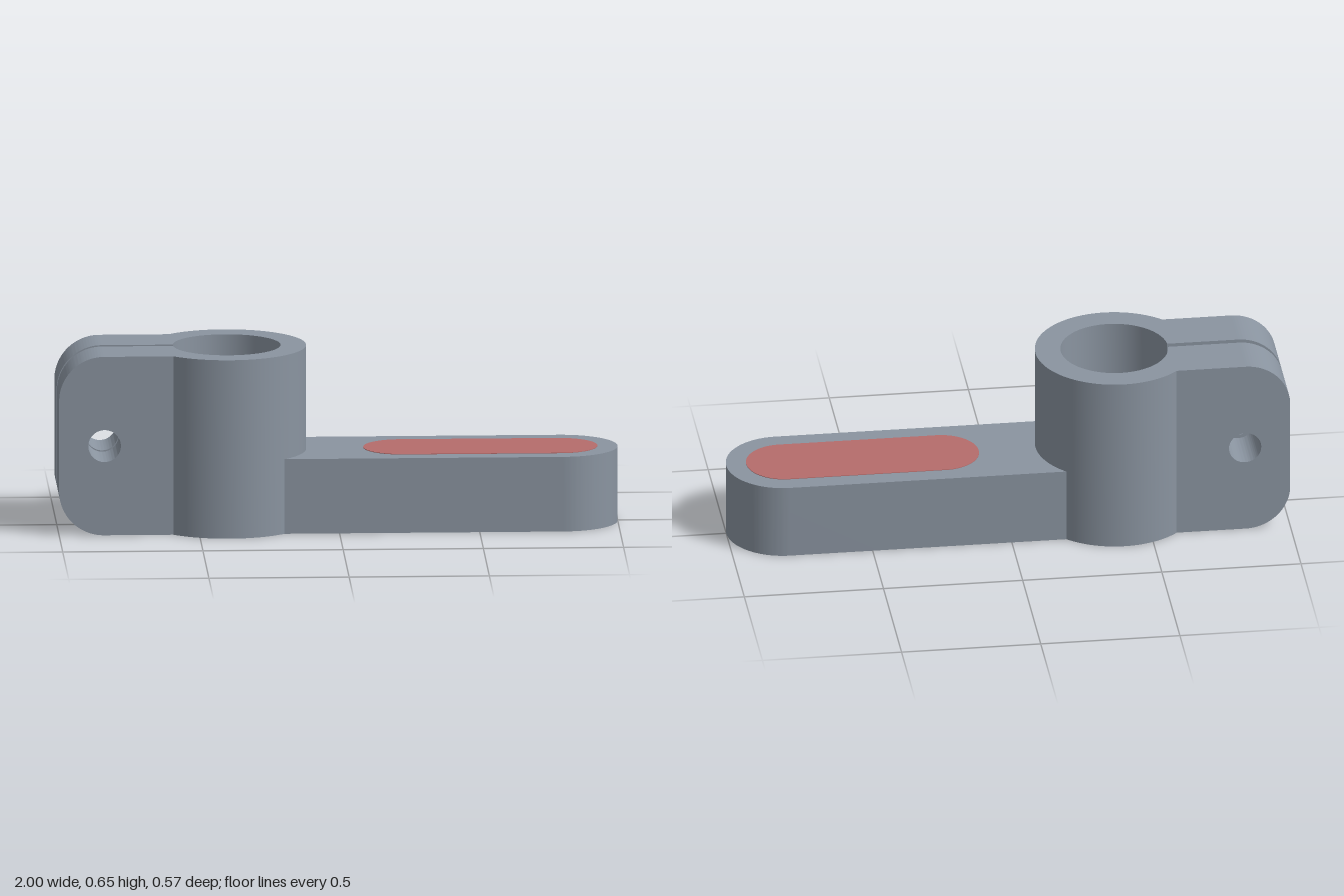
import * as THREE from 'three';
import { toCreasedNormals } from 'three/addons/utils/BufferGeometryUtils.js';

const HEIGHT = 0.648, ARM_H = 0.271, HALF_W = 0.202;
const RING_X = -0.394, R_OUT = 0.283, R_IN = 0.192, SLIT = 0.012;

const extrude = (shape, depth) => new THREE.ExtrudeGeometry(shape, { depth, bevelEnabled: false, curveSegments: 48 });
const smooth = (geometry) => toCreasedNormals(geometry, 0.5);

// Extrude a plan outline upward from height y
function upright(shape, y, height) {
  return smooth(extrude(shape, height).rotateX(-Math.PI / 2).translate(0, y, 0));
}

export function createModel() {
  const metal = new THREE.MeshStandardMaterial({ color: 0x8a94a0 });
  metal.name = 'greyMetal';
  const red = new THREE.MeshStandardMaterial({ color: 0xb56c6b });
  red.name = 'redPad';
  const group = new THREE.Group();
  group.name = 'clampLever';
  const add = (name, geometry, material) => {
    const mesh = new THREE.Mesh(geometry, material);
    mesh.name = name;
    group.add(mesh);
  };

  // Split collar: outer arc, flat back where the ears join, slit into the bore
  const a = Math.asin(HALF_W / R_OUT);
  const b = Math.asin(SLIT / R_IN);
  const joint = R_OUT * Math.cos(a);
  const collar = new THREE.Shape();
  collar.absarc(RING_X, 0, R_OUT, -Math.PI + a, Math.PI - a, false);
  collar.lineTo(RING_X - joint, SLIT);
  collar.absarc(RING_X, 0, R_IN, Math.PI - b, -Math.PI + b, true);
  collar.lineTo(RING_X - joint, -SLIT);
  collar.closePath();
  add('collar', upright(collar, 0, HEIGHT), metal);

  // Two clamp ears with rounded outer corners and a bolt hole
  const r = 0.16, earEnd = RING_X - joint;
  const ear = new THREE.Shape();
  ear.moveTo(earEnd, 0);
  ear.lineTo(earEnd, HEIGHT);
  ear.absarc(-1 + r, HEIGHT - r, r, Math.PI / 2, Math.PI, false);
  ear.absarc(-1 + r, r, r, Math.PI, Math.PI * 1.5, false);
  ear.closePath();
  const hole = new THREE.Path();
  hole.absarc(-0.838, HEIGHT / 2, 0.058, 0, Math.PI * 2, true);
  ear.holes.push(hole);
  for (const [name, z] of [['frontEar', SLIT], ['backEar', -HALF_W]]) {
    add(name, smooth(extrude(ear, HALF_W - SLIT).translate(0, 0, z)), metal);
  }

  // Lever arm: hollowed to fit the collar, rounded at the tip
  const arm = new THREE.Shape();
  arm.moveTo(RING_X + joint, -HALF_W);
  arm.absarc(1 - HALF_W, 0, HALF_W, -Math.PI / 2, Math.PI / 2, false);
  arm.absarc(RING_X, 0, R_OUT, a, -a, true);
  add('arm', upright(arm, 0, ARM_H), metal);

  // Thin coloured grip pad on the arm
  const padR = 0.135;
  const pad = new THREE.Shape();
  pad.absarc(0.928 - padR, 0, padR, -Math.PI / 2, Math.PI / 2, false);
  pad.absarc(0.093 + padR, 0, padR, Math.PI / 2, Math.PI * 1.5, false);
  pad.closePath();
  add('gripPad', upright(pad, ARM_H, 0.002), red);

  return group;
}
